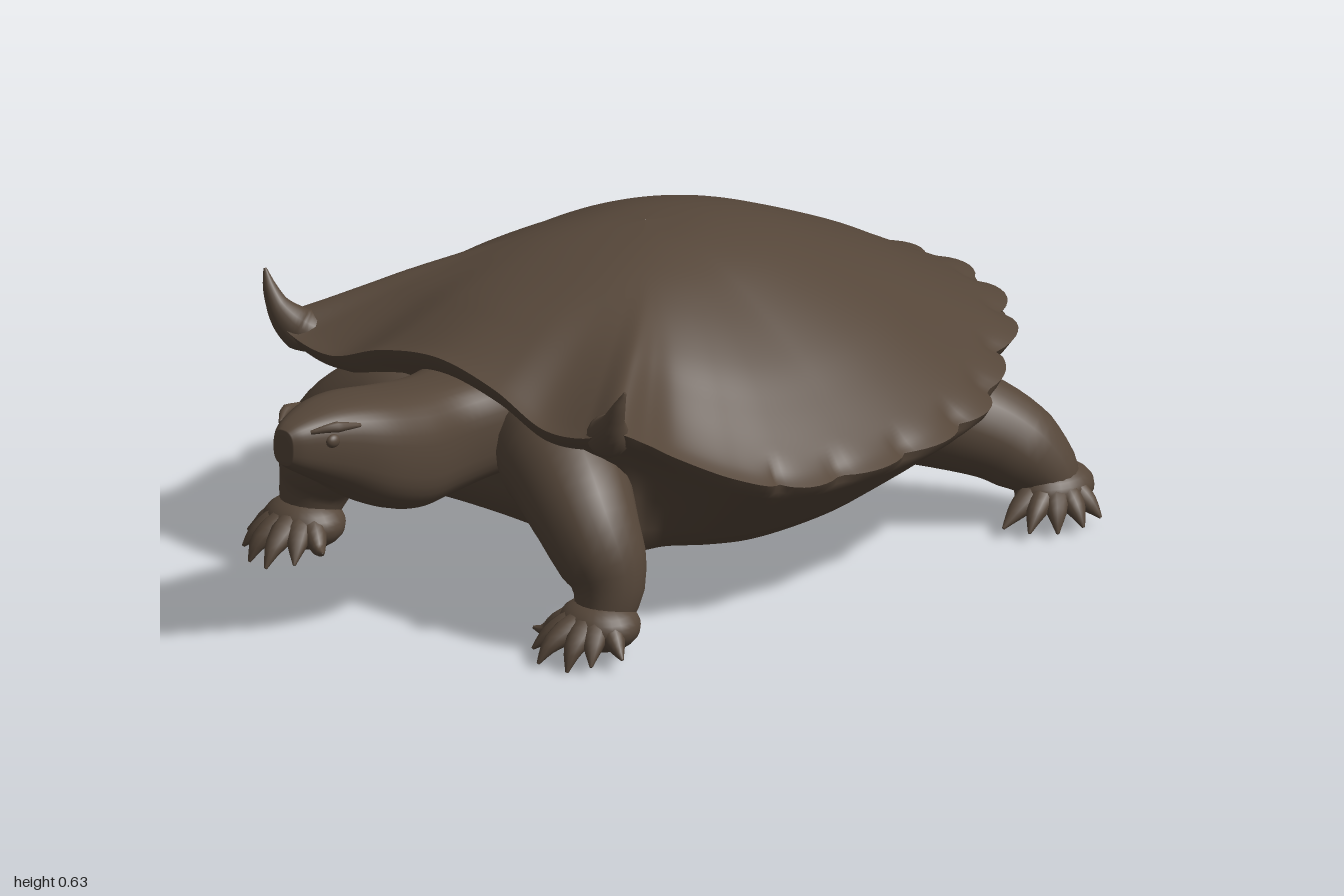
import * as THREE from 'three';

const V = (x, y, z) => new THREE.Vector3(x, y, z);
const smooth = THREE.MathUtils.smoothstep, lerp = THREE.MathUtils.lerp;
const hide = new THREE.MeshStandardMaterial({ color: 0x554639 });
hide.name = 'brown hide';

// Surface through closed rings, each counterclockwise about the direction of travel
function loft(name, rings) {
  const n = rings[0].length, pos = [], idx = [];
  rings.forEach(r => r.forEach(p => pos.push(p.x, p.y, p.z)));
  for (let i = 0; i < rings.length - 1; i++)
    for (let j = 0; j < n; j++) {
      const a = i * n + j, b = i * n + (j + 1) % n;
      idx.push(a, b, b + n, a, b + n, a + n);
    }
  const g = new THREE.BufferGeometry();
  g.setAttribute('position', new THREE.Float32BufferAttribute(pos, 3));
  g.setIndex(idx);
  g.computeVertexNormals();
  const m = new THREE.Mesh(g, hide);
  m.name = name;
  return m;
}

// Piecewise linear lookup over evenly spaced values
function sample(list, t) {
  const f = t * (list.length - 1), i = Math.min(Math.floor(f), list.length - 2);
  return lerp(list[i], list[i + 1], f - i);
}

// Tapered tube along a curve, closed at both ends
function taper(name, points, radii, sides = 20, steps = 20) {
  const curve = new THREE.CatmullRomCurve3(points);
  const fr = curve.computeFrenetFrames(steps), rings = [];
  const ring = (i, r) => Array.from({ length: sides }, (_, j) => {
    const a = j / sides * Math.PI * 2;
    return curve.getPointAt(i / steps)
      .addScaledVector(fr.normals[i], Math.cos(a) * r)
      .addScaledVector(fr.binormals[i], Math.sin(a) * r);
  });
  rings.push(ring(0, 0.0005));
  for (let i = 0; i <= steps; i++) rings.push(ring(i, sample(radii, i / steps)));
  rings.push(ring(steps, 0.0005));
  return loft(name, rings);
}

// Loft along z; each section is [z, top, bottom, halfWidth]
function zLoft(name, sections, power, offset = () => 0) {
  const curves = [1, 2, 3].map(k => new THREE.SplineCurve(sections.map(s => new THREE.Vector2(s[0], s[k]))));
  const rings = [], n = 36, steps = 40;
  const bend = v => Math.sign(v) * Math.abs(v) ** power;
  const ring = (t, k) => {
    const [top, bot, w] = curves.map(c => c.getPoint(t)), z = top.x;
    const mid = (top.y + bot.y) / 2, h = (top.y - bot.y) / 2;
    return Array.from({ length: n }, (_, j) => {
      const a = j / n * Math.PI * 2;
      return V(bend(Math.cos(a)) * w.y * k + offset(z), mid + bend(Math.sin(a)) * h * k, z);
    });
  };
  rings.push(ring(0, 0.01));
  for (let i = 0; i <= steps; i++) rings.push(ring(i / steps, 1));
  rings.push(ring(1, 0.6), ring(1, 0.01));
  return loft(name, rings);
}

function ellipsoid(name, c, s) {
  const m = new THREE.Mesh(new THREE.SphereGeometry(1, 24, 16), hide);
  m.name = name;
  m.position.copy(c);
  m.scale.copy(s);
  return m;
}

// Rim of the shell, front middle to rear middle, then mirrored
const halfRim = [
  [0, .515, .575], [.15, .49, .575], [.28, .443, .575], [.38, .45, .57], [.452, .475, .555],
  [.462, .435, .48], [.475, .39, .41], [.54, .335, .31], [.59, .3, .2], [.612, .288, .02], [.6, .285, -.2],
  [.55, .29, -.38], [.45, .31, -.53], [.325, .325, -.69], [.17, .337, -.78], [0, .342, -.81]];
const rimCurve = new THREE.CatmullRomCurve3([
  ...halfRim.map(p => V(...p)),
  ...halfRim.slice(1, -1).reverse().map(p => V(-p[0], p[1], p[2]))], true);
const RIM = 288;

// Scalloped rim: nine lobes on each side behind the shoulders
const rim = Array.from({ length: RIM }, (_, j) => {
  const u = j / RIM, p = rimCurve.getPoint(u), k = (Math.min(u, 1 - u) * 2 - 0.46) / 0.54;
  const notch = k > 0 ? (1 - Math.abs(Math.sin(k * 9 * Math.PI)) ** 0.6) * smooth(k, 0, 0.15) : 0;
  return { p, notch };
});

function createShell() {
  const g = new THREE.Group();
  g.name = 'shell';
  // Domed back: an oval at the crown that takes the shape of the rim further out
  const dome = new THREE.SplineCurve([[0, 1], [.167, .97], [.333, .87], [.5, .7], [.667, .49],
    [.78, .31], [.88, .15], [.95, .05], [1, 0]].map(q => new THREE.Vector2(...q)));
  const rings = [];
  for (let i = 0; i <= 44; i++) {
    const q = dome.getPoint(1 - i / 44), s = Math.max(q.x, 0.001), w = smooth(s, 0.35, 1);
    rings.push(rim.map(({ p, notch }) => {
      const a = Math.atan2(p.x / 0.61, p.z / 0.7), k = s * (1 - 0.05 * notch * smooth(s, 0.88, 1));
      const ovalZ = Math.cos(a) * (p.z > 0 ? 0.6 : 0.8);
      const base = lerp(0.31 + 0.2 * smooth(ovalZ, 0, 0.6), p.y, w);
      return V(lerp(Math.sin(a) * 0.61, p.x, w) * k, base + (0.635 - base) * q.y, lerp(ovalZ, p.z, w) * k);
    }));
  }
  g.add(loft('carapace', rings));
  // Flat belly, sloping flanks and the lip under the rim
  const under = [[.001, 0], [.3, 0], [.55, .01], [.67, .07], [.74, .25], [.82, .46],
    [.9, .68], [.96, .84], [.985, .91], [1, 1]];
  g.add(loft('plastron', under.map(([s, l]) => rim.map(({ p, notch }) => {
    const ends = smooth(p.z, 0.3, 0.56) + 0.8 * smooth(-p.z, 0.45, 0.7);
    const recess = ends * 0.1 * smooth(l, 0.2, 0.5) * (1 - smooth(l, 0.8, 0.95));
    const k = s * (1 - recess) * (1 - 0.05 * notch * smooth(s, 0.95, 1));
    return V(p.x * k, 0.11 + (p.y - 0.11) * l, p.z * k);
  }))));
  return g;
}

// Foot with fanned, clawed toes
function createFoot(name, c, size, tips) {
  const g = new THREE.Group();
  g.name = name;
  g.add(ellipsoid('footPad', c, size));
  tips.forEach(t => {
    const at = (k, y) => c.clone().lerp(t, k).setY(y);
    g.add(taper('toe', [at(.2, .075), at(.55, .062), at(.82, .042), t], [.03, .027, .018, .003], 10, 8));
  });
  return g;
}

function createSide(s) {
  const P = (x, y, z) => V(s * x, y, z);
  const g = new THREE.Group();
  g.name = s > 0 ? 'leftSide' : 'rightSide';
  // Upswept horn on the front corner of the shell
  g.add(taper('shellHorn', [P(.35, .435, .49), P(.405, .45, .525), P(.437, .485, .548), P(.459, .525, .555), P(.476, .564, .553)],
    [.012, .035, .043, .033, .021, .013, .003], 16, 24));
  // Front leg
  g.add(taper('frontLeg', [P(.1, .35, .4), P(.22, .325, .46), P(.335, .24, .505), P(.385, .14, .505), P(.39, .06, .53)],
    [.1, .118, .105, .085, .05]));
  g.add(createFoot('frontFoot', P(.39, .065, .535), V(.085, .052, .075),
    [P(.278, .045, .6), P(.315, .022, .64), P(.36, .012, .672), P(.42, .005, .655), P(.46, .02, .63), P(.495, .03, .58)]));
  // Rear leg
  g.add(taper('rearLeg', [P(.24, .24, -.38), P(.37, .22, -.43), P(.46, .17, -.51), P(.52, .1, -.565), P(.535, .06, -.575)],
    [.1, .115, .1, .085, .05]));
  g.add(createFoot('rearFoot', P(.53, .07, -.575), V(.07, .05, .085),
    [P(.535, .025, -.43), P(.58, .02, -.455), P(.612, .015, -.5), P(.632, .02, -.55), P(.63, .025, -.6)]));
  // Eye under a brow ridge
  g.add(ellipsoid('eye', P(.06, .46, .925), V(.012, .014, .017)));
  g.add(taper('brow', [P(.04, .482, .965), P(.062, .488, .93), P(.08, .482, .87)], [.004, .011, .004], 10, 10));
  return g;
}

export function createModel() {
  const model = new THREE.Group();
  model.name = 'turtle';
  model.add(createShell());
  // Head and neck
  model.add(zLoft('head', [[.35, .47, .26, .13], [.5, .475, .26, .12], [.6, .475, .25, .107], [.7, .487, .25, .116],
    [.8, .505, .285, .11], [.88, .511, .338, .085], [.94, .505, .375, .06], [.98, .495, .4, .04], [1, .485, .415, .025]], 0.74));
  // Tail
  model.add(zLoft('tail', [[-1, .162, .142, .01], [-.93, .192, .132, .037], [-.85, .226, .137, .06],
    [-.75, .268, .16, .075], [-.65, .292, .19, .09], [-.5, .3, .2, .1]], 1, z => -.015 * smooth(-z, .5, .8)));
  // Hip skin under the rear of the shell
  model.add(ellipsoid('hips', V(0, .25, -.45), V(.36, .08, .18)));
  for (const s of [1, -1]) model.add(createSide(s));
  return model;
}
